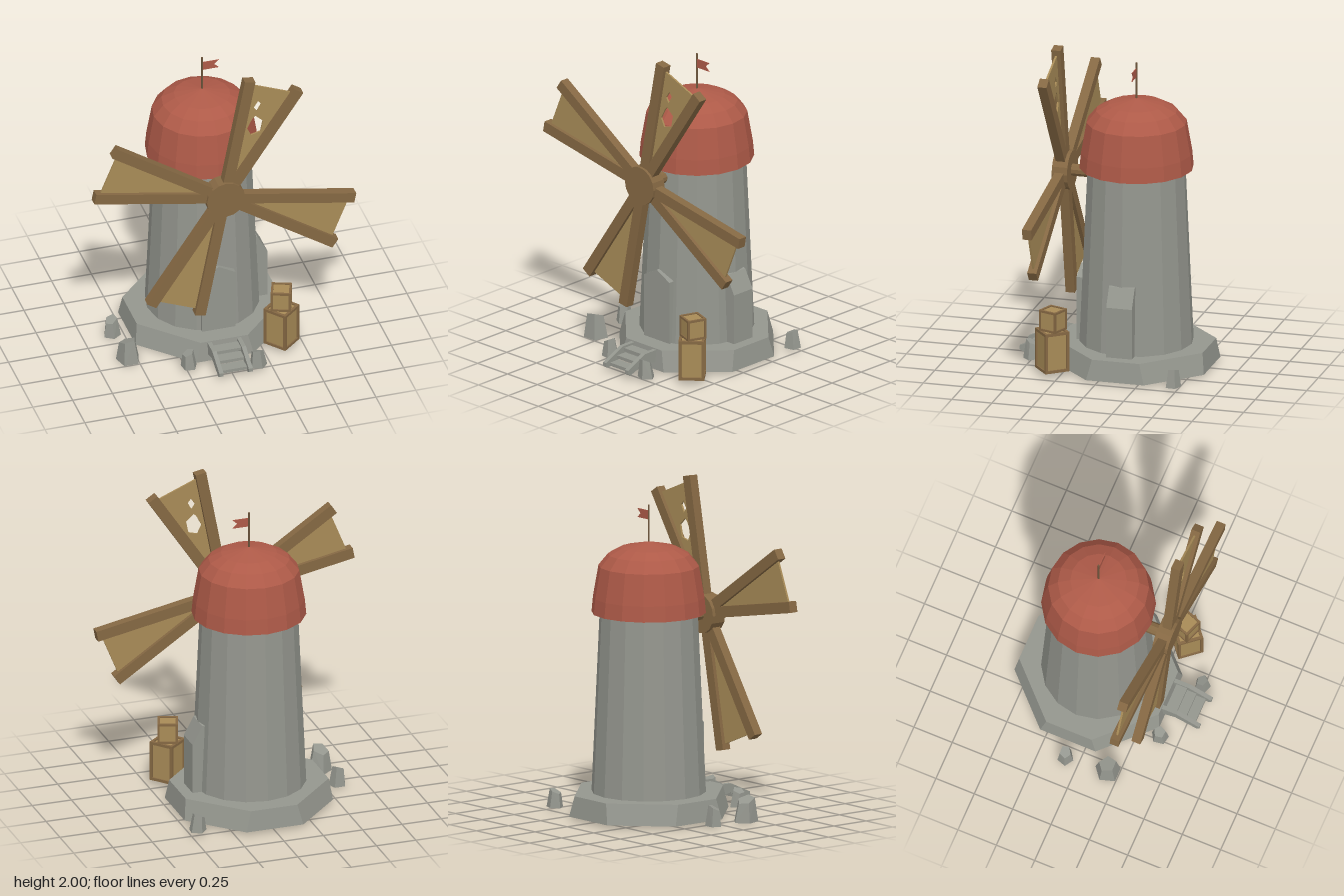
import * as THREE from 'three';
import { ConvexGeometry } from 'three/addons/geometries/ConvexGeometry.js';

const mat = (name, color) => new THREE.MeshStandardMaterial({ name, color, flatShading: true });
const V = (x, y, z) => new THREE.Vector3(x, y, z);
const CZ = -0.115; // tower axis

export function createModel() {
  const model = new THREE.Group();
  model.name = 'windmill';
  const stone = mat('stone grey', 0x94968e);
  const red = mat('roof red', 0xae5a48);
  const timber = mat('dark timber', 0x856843);
  const cloth = mat('sail tan', 0xa88b57);
  const poleMat = mat('pole brown', 0x6e563c);
  const flagMat = mat('flag red', 0xae5a48);
  flagMat.side = THREE.DoubleSide;

  const add = (name, geo, material, pos = [0, 0, 0], parent = model) => {
    const m = new THREE.Mesh(geo, material);
    m.name = name;
    m.position.set(...pos);
    parent.add(m);
    return m;
  };
  const shape = (pts) => new THREE.Shape(pts.map(([x, y]) => new THREE.Vector2(x, y)));
  const extrude = (s, depth) => new THREE.ExtrudeGeometry(s, { depth, bevelEnabled: false });

  // Octagonal plinth, tapering upward
  const octagon = (a, h, y) => [[a, h], [h, a], [-h, a], [-a, h], [-a, -h], [-h, -a], [h, -a], [a, -h]]
    .map(([x, z]) => V(x, y, z));
  add('plinth', new ConvexGeometry([...octagon(0.472, 0.18, 0.015), ...octagon(0.455, 0.148, 0.142)]),
    stone, [0, 0, CZ]);

  // Tower and domed cap
  add('tower', new THREE.CylinderGeometry(0.295, 0.345, 1.12, 16), stone, [0, 0.7, CZ]);
  const domeProfile = [[0.28, 1.25], [0.345, 1.235], [0.336, 1.33], [0.303, 1.52], [0.245, 1.59], [0.17, 1.63], [0, 1.667]];
  add('domeRoof', new THREE.LatheGeometry(domeProfile.map(([r, y]) => new THREE.Vector2(r, y)), 16),
    red, [0, 0, CZ]);

  // Flag
  add('flagPole', new THREE.CylinderGeometry(0.006, 0.006, 0.25, 6), poleMat, [0, 1.765, CZ]);
  add('flag', extrude(shape([[0, 1.8], [0.105, 1.8], [0.075, 1.827], [0.105, 1.855], [0, 1.855]]), 0.004),
    flagMat, [0, 0, CZ - 0.002]);

  // Front doorway slab and side buttress
  add('frontDoor', extrude(shape([[-0.105, 0.13], [0.105, 0.13], [0.105, 0.535], [0, 0.592], [-0.105, 0.535]]), 0.1),
    stone, [0, 0, 0.13]);
  add('sideButtress', extrude(shape([[0.2, 0.13], [0.387, 0.13], [0.387, 0.456], [0.325, 0.57], [0.2, 0.6]]), 0.16),
    stone, [0, 0, -0.197]);

  // Front steps
  const steps = new THREE.Group();
  steps.name = 'frontSteps';
  model.add(steps);
  const stringer = extrude(shape([[0.33, 0.05], [0.43, 0.08], [0.565, 0.032], [0.585, 0.045], [0.585, 0.068], [0.44, 0.135], [0.33, 0.135]]), 0.026);
  stringer.rotateY(-Math.PI / 2); // profile runs along z
  for (const x of [-0.079, 0.105]) add('stringer', stringer, stone, [x, 0, 0], steps);
  for (let i = 0; i < 3; i++) {
    add('tread', new THREE.BoxGeometry(0.17, 0.02, 0.07), stone, [0, 0.112 - i * 0.03, 0.395 + i * 0.06], steps);
  }

  // Axle, hub and four blades
  const rotor = new THREE.Group();
  rotor.name = 'rotor';
  rotor.position.set(0, 1.175, 0.335);
  model.add(rotor);
  add('axle', new THREE.CylinderGeometry(0.038, 0.038, 0.25, 10).rotateX(Math.PI / 2), timber, [0, 0, -0.13], rotor);
  add('hub', new THREE.CylinderGeometry(0.12, 0.12, 0.096, 16).rotateX(Math.PI / 2), timber, [0, 0, -0.002], rotor);

  const spread = 0.2; // half angle between a blade's two beams
  const firstAngle = THREE.MathUtils.degToRad(67.7);
  const holes = [
    [[0.185, 0.611], [0.212, 0.653], [0.233, 0.627], [0.206, 0.579]],
    [[0.143, 0.468], [0.169, 0.415], [0.228, 0.431], [0.243, 0.505], [0.195, 0.55], [0.175, 0.53]],
  ];
  for (let i = 0; i < 4; i++) {
    const blade = new THREE.Group();
    blade.name = 'blade';
    blade.rotation.z = firstAngle - i * Math.PI / 2;
    rotor.add(blade);
    for (const s of [-1, 1]) {
      const beam = add('bladeBeam', new THREE.BoxGeometry(0.78, 0.067, 0.057).translate(0.44, 0, 0), timber, [0, 0, 0], blade);
      beam.rotation.z = s * spread;
    }
    const tip = 0.785 * Math.tan(spread);
    const sail = shape([[0.1, 0], [0.785, -tip], [0.785, tip]]);
    // torn holes in the upper sail only
    if (i === 0) {
      for (const h of holes) {
        sail.holes.push(new THREE.Path(h.map(([x, y]) =>
          new THREE.Vector2(x, y).rotateAround(new THREE.Vector2(), -firstAngle))));
      }
    }
    add('sail', extrude(sail, 0.012), cloth, [0, 0, -0.006], blade);
  }

  // Crates: inset panels with framed edges
  const crate = (name, w, h, x, y, z, turn) => {
    const g = new THREE.Group();
    g.name = name;
    g.position.set(x, y + h / 2, z);
    g.rotation.y = turn;
    model.add(g);
    const t = w * 0.11, a = (w - t) / 2, b = (h - t) / 2;
    add('cratePanels', new THREE.BoxGeometry(w - t, h - t, w - t), cloth, [0, 0, 0], g);
    for (const s of [-1, 1]) {
      for (const r of [-1, 1]) {
        add('crateEdge', new THREE.BoxGeometry(t, h, t), timber, [s * a, 0, r * a], g);
        add('crateEdge', new THREE.BoxGeometry(w, t, t), timber, [0, s * b, r * a], g);
        add('crateEdge', new THREE.BoxGeometry(t, t, w), timber, [r * a, s * b, 0], g);
      }
    }
  };
  crate('largeCrate', 0.156, 0.25, 0.37, 0.03, 0.305, 0.695);
  crate('smallCrate', 0.122, 0.13, 0.37, 0.28, 0.3, -0.35);

  // Scattered rocks: five-sided, narrowing to a slanted top
  const rock = (x, y, z, w, d, h, turn) => {
    const pts = [];
    for (let i = 0; i < 5; i++) {
      const a = turn + i * Math.PI * 0.4;
      const c = Math.cos(a) * w / 2, s = Math.sin(a) * d / 2;
      pts.push(V(c, 0, s), V(c * 0.68 - 0.006, h * (0.86 + 0.14 * Math.cos(i * 1.26 + 1)), s * 0.68));
    }
    add('rock', new ConvexGeometry(pts), stone, [x, y, z]);
  };
  rock(-0.575, 0.01, -0.085, 0.11, 0.1, 0.13, 0.3);
  rock(-0.552, 0, 0.18, 0.15, 0.16, 0.158, 2.2);
  rock(-0.235, 0.02, 0.385, 0.1, 0.11, 0.115, 1.1);
  rock(0.167, 0.02, 0.492, 0.11, 0.1, 0.118, 2.6);
  rock(0.452, 0.02, -0.472, 0.11, 0.1, 0.115, 0.7);

  return model;
}
